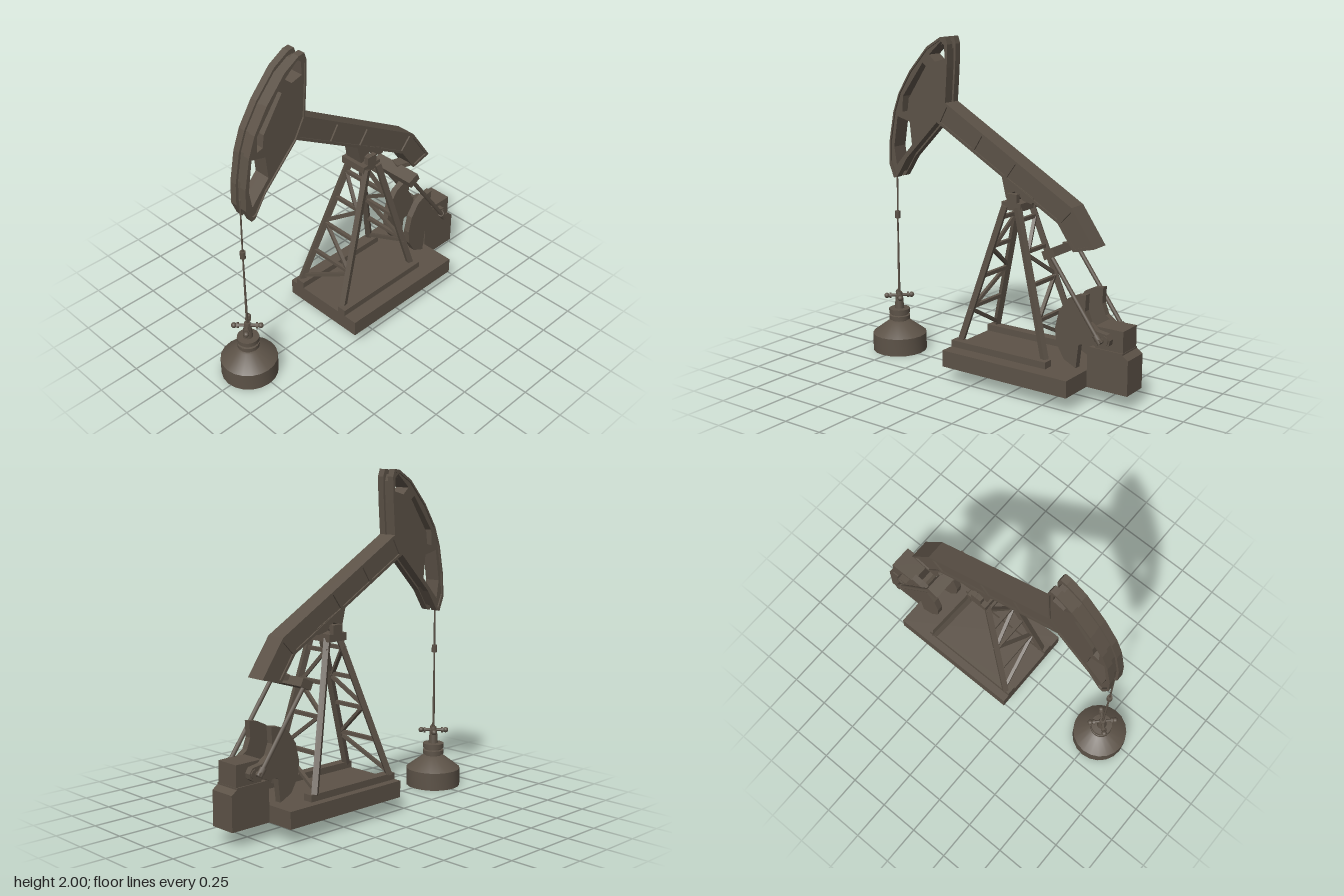
import * as THREE from 'three';
import { toCreasedNormals } from 'three/addons/utils/BufferGeometryUtils.js';

const steel = new THREE.MeshStandardMaterial({ color: 0x5c5247 });
steel.name = 'dark brown steel';

const V = (x, y, z) => new THREE.Vector3(x, y, z);

function add(parent, geometry, name) {
  const mesh = new THREE.Mesh(geometry, steel);
  mesh.name = name;
  parent.add(mesh);
  return mesh;
}

function box(parent, name, x0, x1, y0, y1, z0, z1) {
  const m = add(parent, new THREE.BoxGeometry(x1 - x0, y1 - y0, z1 - z0), name);
  m.position.set((x0 + x1) / 2, (y0 + y1) / 2, (z0 + z1) / 2);
  return m;
}

// Side profile extruded from z0 to z1, with optional holes
function plate(parent, name, points, z0, z1, holes = []) {
  const toV2 = (list) => list.map(([x, y]) => new THREE.Vector2(x, y));
  const shape = new THREE.Shape(toV2(points));
  shape.holes = holes.map((h) => new THREE.Path(toV2(h)));
  const geo = new THREE.ExtrudeGeometry(shape, { depth: z1 - z0, bevelEnabled: false });
  geo.translate(0, 0, z0);
  return add(parent, geo, name);
}

// Square bar between two points
function bar(parent, name, a, b, w, h = w) {
  const m = add(parent, new THREE.BoxGeometry(w, h, a.distanceTo(b)), name);
  m.position.copy(a).add(b).multiplyScalar(0.5);
  m.lookAt(b);
  return m;
}

// Round rod between two points
function rod(parent, name, a, b, r, r2 = r) {
  const geo = new THREE.CylinderGeometry(r2, r, a.distanceTo(b), 10);
  const m = add(parent, geo, name);
  m.position.copy(a).add(b).multiplyScalar(0.5);
  m.quaternion.setFromUnitVectors(V(0, 1, 0), b.clone().sub(a).normalize());
  return m;
}

function lathe(parent, name, profile, segments) {
  const geo = new THREE.LatheGeometry(profile.map(([r, y]) => new THREE.Vector2(r, y)), segments);
  return add(parent, toCreasedNormals(geo, 0.5), name);
}

function buildBase(g) {
  // Hollow skid, open underneath
  box(g, 'skidDeck', -0.185, 0.675, 0.17, 0.19, -0.28, 0.28);
  for (const s of [-1, 1]) {
    const z = s * 0.265;
    box(g, 'skidSide', -0.185, 0.675, 0.09, 0.17, z - 0.015, z + 0.015);
  }
  box(g, 'skidEnd', -0.185, -0.155, 0.09, 0.17, -0.25, 0.25);
  box(g, 'skidEnd', 0.645, 0.675, 0.09, 0.17, -0.25, 0.25);
  for (const z of [-0.05, 0.01]) box(g, 'skidStringer', -0.08, 0.56, 0.15, 0.17, z - 0.01, z + 0.01);
}

function buildTower(g) {
  for (const s of [-1, 1]) box(g, 'footRail', -0.185, 0.48, 0.19, 0.23, s * 0.182 - 0.03, s * 0.182 + 0.03);
  const ends = [
    [V(-0.15, 0.22, 0.182), V(0.115, 1.06, 0.07)],
    [V(0.445, 0.22, 0.182), V(0.205, 1.06, 0.07)],
  ];
  const flip = (p, s) => V(p.x, p.y, p.z * s);
  for (const [foot, top] of ends) {
    for (const s of [-1, 1]) bar(g, 'towerLeg', flip(foot, s), flip(top, s), 0.034);
    // Zigzag bracing between the paired legs
    const levels = [0.03, 0.26, 0.49, 0.71, 0.92];
    levels.forEach((t, i) => {
      const a = foot.clone().lerp(top, t);
      if (i > 0) bar(g, 'crossBrace', a, flip(a, -1), 0.022);
      if (i < levels.length - 1) {
        const b = foot.clone().lerp(top, levels[i + 1]);
        const s = i % 2 ? 1 : -1;
        bar(g, 'diagonalBrace', flip(a, s), flip(b, -s), 0.02);
      }
    });
  }
  box(g, 'towerCap', 0.09, 0.225, 1.04, 1.085, -0.09, 0.09);
  // Pivot bearing and saddle
  rod(g, 'pivotShaft', V(0.16, 1.115, -0.09), V(0.16, 1.115, 0.09), 0.022);
  for (const s of [-1, 1]) box(g, 'bearingBlock', 0.125, 0.195, 1.08, 1.135, s * 0.075 - 0.015, s * 0.075 + 0.015);
  plate(g, 'saddle', [[0.065, 1.24], [0.1, 1.1], [0.12, 1.1], [0.13, 1.13], [0.16, 1.145], [0.19, 1.13],
    [0.215, 1.1], [0.28, 1.085], [0.29, 1.12], [0.2, 1.17]], -0.058, 0.058);
}

function buildBeam(g) {
  const outline = [[-0.4, 1.495], [0.455, 1.0], [0.56, 0.85], [0.695, 0.885], [0.545, 1.1], [-0.335, 1.615]];
  const mix = (a, b, t) => [a[0] + (b[0] - a[0]) * t, a[1] + (b[1] - a[1]) * t];
  const panel = (b0, t0, b1, t1) => [mix(b0, t0, 0.12), mix(b1, t1, 0.12), mix(b1, t1, 0.88), mix(b0, t0, 0.88)];
  // Recessed side panels between flanges and ribs
  const [b0, b1, b2, t2, t1, t0] = outline;
  const panels = [[0.02, 0.29], [0.31, 0.56], [0.58, 0.98]].map(([u, v]) =>
    panel(mix(b0, b1, u), mix(t0, t1, u), mix(b0, b1, v), mix(t0, t1, v)));
  panels.push(panel(mix(b1, b2, 0.06), mix(t1, t2, 0.06), mix(b1, b2, 0.92), mix(t1, t2, 0.92)));
  plate(g, 'beamFlanges', outline, -0.062, 0.062, panels);
  plate(g, 'beamWeb', outline, -0.052, 0.052);
}

function buildHead(g) {
  const outline = [[-0.74, 1.125], [-0.715, 1.13], [-0.635, 1.255], [-0.4, 1.495], [-0.335, 1.615], [-0.32, 1.82],
    [-0.315, 1.955], [-0.33, 2.0], [-0.37, 1.995], [-0.47, 1.935], [-0.6, 1.79], [-0.69, 1.65], [-0.735, 1.53],
    [-0.77, 1.345], [-0.775, 1.21]];
  const holes = [
    [[-0.71, 1.505], [-0.615, 1.48], [-0.6, 1.34], [-0.722, 1.205], [-0.74, 1.315]],
    [[-0.665, 1.63], [-0.51, 1.84], [-0.485, 1.82], [-0.62, 1.62], [-0.63, 1.545], [-0.67, 1.535]],
    [[-0.46, 1.89], [-0.37, 1.97], [-0.347, 1.95], [-0.342, 1.87], [-0.415, 1.85]],
  ];
  const inset = (k) => outline.map(([x, y]) => [-0.52 + (x + 0.52) * k, 1.58 + (y - 1.58) * k]);
  // Grooved core between two rimmed cheeks
  plate(g, 'headCore', inset(0.93), -0.02, 0.02, holes);
  for (const s of [-1, 1]) {
    const span = (a, b) => (s > 0 ? [a, b] : [-b, -a]);
    plate(g, 'headCheek', outline, ...span(0.018, 0.052), holes);
    plate(g, 'headRim', outline, ...span(0.05, 0.062), [inset(0.95)]);
  }
}

function buildDrive(g) {
  plate(g, 'gearboxHousing', [[0.675, 0.09], [0.935, 0.09], [0.935, 0.295], [0.9, 0.32], [0.9, 0.33], [0.69, 0.33],
    [0.675, 0.31]], -0.083, 0.083);
  box(g, 'gearboxTop', 0.72, 0.898, 0.32, 0.455, -0.075, 0.075);
  rod(g, 'crankShaft', V(0.8, 0.395, -0.12), V(0.8, 0.395, 0.12), 0.028);
  const crank = [[0.8, 0.35], [0.83, 0.37], [0.835, 0.4], [0.815, 0.43], [0.75, 0.44], [0.7, 0.475], [0.675, 0.54],
    [0.68, 0.635], [0.62, 0.625], [0.56, 0.595], [0.505, 0.515], [0.48, 0.41], [0.49, 0.32], [0.54, 0.235],
    [0.62, 0.197], [0.635, 0.335], [0.65, 0.345], [0.7, 0.34], [0.73, 0.355]];
  for (const s of [-1, 1]) {
    plate(g, 'crankWeight', crank, s * 0.093 - 0.02, s * 0.093 + 0.02);
    rod(g, 'crankPin', V(0.785, 0.395, s * 0.1), V(0.785, 0.395, s * 0.155), 0.016);
    rod(g, 'pitmanRod', V(0.465, 0.83, s * 0.138), V(0.79, 0.385, s * 0.138), 0.013);
    rod(g, 'pitmanEnd', V(0.76, 0.425, s * 0.138), V(0.79, 0.385, s * 0.138), 0.02);
  }
  // Equalizer bar hung below the tail of the beam
  const eq = box(g, 'equalizerBar', 0.42, 0.5, 0.82, 0.87, -0.16, 0.16);
  eq.rotation.z = 0.42;
  bar(g, 'equalizerLink', V(0.47, 0.87, 0), V(0.58, 0.875, 0), 0.07, 0.03);
}

function buildWell(g) {
  const well = new THREE.Group();
  well.name = 'wellhead';
  well.position.x = -0.768;
  g.add(well);
  // Hollow casing with stacked flanges
  lathe(well, 'wellCasing', [[0, 0.17], [0.06, 0.17], [0.16, 0.1], [0.16, 0], [0.17, 0], [0.17, 0.11], [0.07, 0.185],
    [0.05, 0.19], [0.05, 0.2], [0.066, 0.2], [0.066, 0.225], [0.052, 0.228], [0.052, 0.24], [0.066, 0.24],
    [0.066, 0.268], [0.03, 0.27], [0.024, 0.34], [0.018, 0.375], [0, 0.375]], 20);
  // Four valve arms set on the diagonals
  for (let i = 0; i < 4; i++) {
    const a = Math.PI / 4 + (i * Math.PI) / 2;
    const at = (r) => V(Math.cos(a) * r, 0.353, Math.sin(a) * r);
    rod(well, 'valveArm', at(0), at(0.09), 0.009);
    rod(well, 'valveCollar', at(0.05), at(0.062), 0.018);
    add(well, new THREE.SphereGeometry(0.017, 10, 8), 'valveKnob').position.copy(at(0.078));
  }
  rod(well, 'polishedRod', V(0, 0.36, 0), V(0, 0.85, 0), 0.008, 0.005);
  rod(well, 'rodClamp', V(0, 0.855, 0), V(0, 0.9, 0), 0.017);
  rod(well, 'bridleCable', V(0, 0.89, 0), V(0.005, 1.25, 0), 0.005);
}

export function createModel() {
  const model = new THREE.Group();
  model.name = 'pumpJack';
  buildBase(model);
  const machine = new THREE.Group();
  machine.name = 'machine';
  machine.position.z = -0.02;
  model.add(machine);
  for (const build of [buildTower, buildBeam, buildHead, buildDrive, buildWell]) build(machine);
  return model;
}
